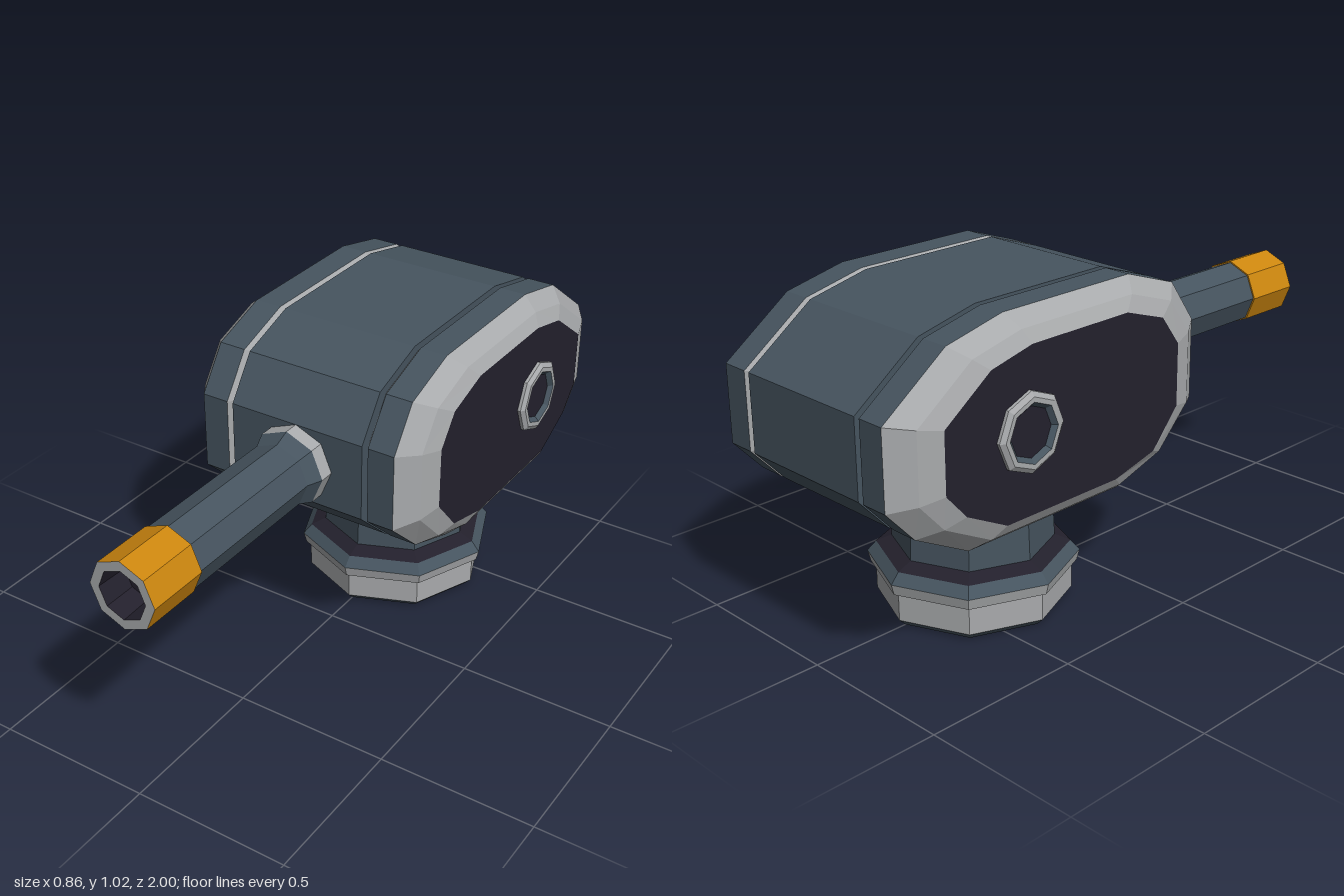
import * as THREE from 'three';

const flat = (name, color) => Object.assign(
  new THREE.MeshStandardMaterial({ color, flatShading: true }), { name });

// Outline of the head as [z, y], full size and at the end plates
const OUTER = [[0.195, 0.825], [0.1, 0.96], [-0.09, 1.025], [-0.58, 1.025], [-0.78, 0.98], [-1, 0.82],
  [-1, 0.58], [-0.905, 0.475], [-0.72, 0.377], [-0.13, 0.377], [0.055, 0.445], [0.195, 0.575]];
const INNER = [[0.05, 0.8], [-0.02, 0.895], [-0.17, 0.945], [-0.54, 0.945], [-0.69, 0.91], [-0.855, 0.79],
  [-0.855, 0.605], [-0.785, 0.525], [-0.64, 0.45], [-0.21, 0.45], [-0.05, 0.49], [0.05, 0.605]];

// Point i of the outline at x, shrunk by t towards the end-plate outline
const ringPoint = (i, x, t) => {
  const a = OUTER[i % OUTER.length], b = INNER[i % INNER.length];
  return [x, a[1] + (b[1] - a[1]) * t, a[0] + (b[0] - a[0]) * t];
};

function toGeometry(positions) {
  const g = new THREE.BufferGeometry();
  g.setAttribute('position', new THREE.Float32BufferAttribute(positions, 3));
  g.computeVertexNormals();
  return g;
}

// Skin between successive [x, t] sections, x not decreasing
function loft(sections) {
  const p = [];
  for (let s = 0; s + 1 < sections.length; s++) {
    for (let i = 0; i < OUTER.length; i++) {
      const a = ringPoint(i, ...sections[s]), a2 = ringPoint(i + 1, ...sections[s]);
      const b = ringPoint(i, ...sections[s + 1]), b2 = ringPoint(i + 1, ...sections[s + 1]);
      p.push(...a, ...b, ...b2, ...a, ...b2, ...a2);
    }
  }
  return toGeometry(p);
}

// Flat end plate facing the given side
function endPlate(x, side) {
  const p = [], c = [x, 0.7, -0.4];
  for (let i = 0; i < OUTER.length; i++) {
    const a = ringPoint(i, x, 1), b = ringPoint(i + 1, x, 1);
    p.push(...c, ...(side > 0 ? [...b, ...a] : [...a, ...b]));
  }
  return toGeometry(p);
}

// Eight-sided turned part from [radius, height] points
const turned = (points) =>
  new THREE.LatheGeometry(points.map(([r, h]) => new THREE.Vector2(r, h)), 8);

export function createModel() {
  const slate = flat('slate', 0x46545f);
  const steel = flat('steel', 0xa8aaac);
  const dark = flat('dark', 0x23202c);
  const orange = flat('orange', 0xcc860f);

  const model = new THREE.Group();
  model.name = 'turret';
  const add = (parent, name, geometry, material) => {
    const mesh = new THREE.Mesh(geometry, material);
    mesh.name = name;
    parent.add(mesh);
    return mesh;
  };
  const group = (name, x, y, z) => {
    const g = new THREE.Group();
    g.name = name;
    g.position.set(x, y, z);
    model.add(g);
    return g;
  };

  // Head: centre section with groove walls, then mirrored outer sections
  const head = group('head', 0, 0, 0);
  const groove = 0.28;
  add(head, 'headCentre', loft([[-0.23, groove], [-0.23, 0], [0.23, 0], [0.23, groove]]), slate);
  for (const side of [1, -1]) {
    const skin = (sections) =>
      loft(side > 0 ? sections : sections.map(([x, t]) => [-x, t]).reverse());
    const label = side > 0 ? 'left' : 'right';
    add(head, label + 'GrooveBand', skin([[0.23, groove], [0.25, 0]]), steel);
    add(head, label + 'HeadShell', skin([[0.25, 0], [0.338, 0]]), slate);
    add(head, label + 'Rim', skin([[0.338, 0], [0.388, 0.5], [0.41, 1]]), steel);
    add(head, label + 'EndPlate', endPlate(0.41 * side, side), dark);

    // Round port on the end plate
    const port = group(label + 'Port', 0.408 * side, 0.7, -0.555);
    port.rotation.z = -side * Math.PI / 2;
    add(port, 'portRing', turned([[0.12, 0], [0.12, 0.012], [0.105, 0.022], [0.09, 0.022]]), steel);
    add(port, 'portBevel', turned([[0.09, 0.022], [0.076, 0.008]]), slate);
    add(port, 'portLens', turned([[0.076, 0.008], [0, 0.008]]), dark);
  }

  // Pedestal: stacked turned bands
  const base = group('base', 0, 0, -0.4);
  const bands = [
    ['baseUnderside', dark, [[0, 0], [0.276, 0]]],
    ['baseBevel', slate, [[0.276, 0], [0.298, 0.022]]],
    ['baseDrum', steel, [[0.298, 0.022], [0.298, 0.108]]],
    ['flangeUnderside', slate, [[0.298, 0.108], [0.314, 0.113]]],
    ['flangeEdge', steel, [[0.314, 0.113], [0.323, 0.148]]],
    ['flangeSlope', slate, [[0.323, 0.148], [0.295, 0.18]]],
    ['flangeTop', dark, [[0.295, 0.18], [0.247, 0.2]]],
    ['neck', slate, [[0.247, 0.2], [0.238, 0.42]]],
  ];
  for (const [name, material, points] of bands) add(base, name, turned(points), material);

  // Barrel pointing forward, with a hollow muzzle
  const barrel = group('barrel', 0, 0.7, 0);
  barrel.rotation.x = Math.PI / 2;
  const barrelParts = [
    ['barrelCollar', steel, [[0.125, 0.15], [0.125, 0.243]]],
    ['barrelTube', slate, [[0.125, 0.243], [0.105, 0.29], [0.105, 0.8]]],
    ['muzzleBand', orange, [[0.105, 0.8], [0.11, 0.8], [0.11, 1]]],
    ['muzzleFace', steel, [[0.11, 1], [0.079, 1]]],
    ['muzzleBore', dark, [[0.079, 1], [0.074, 0.9], [0, 0.9]]],
  ];
  for (const [name, material, points] of barrelParts) add(barrel, name, turned(points), material);

  return model;
}
